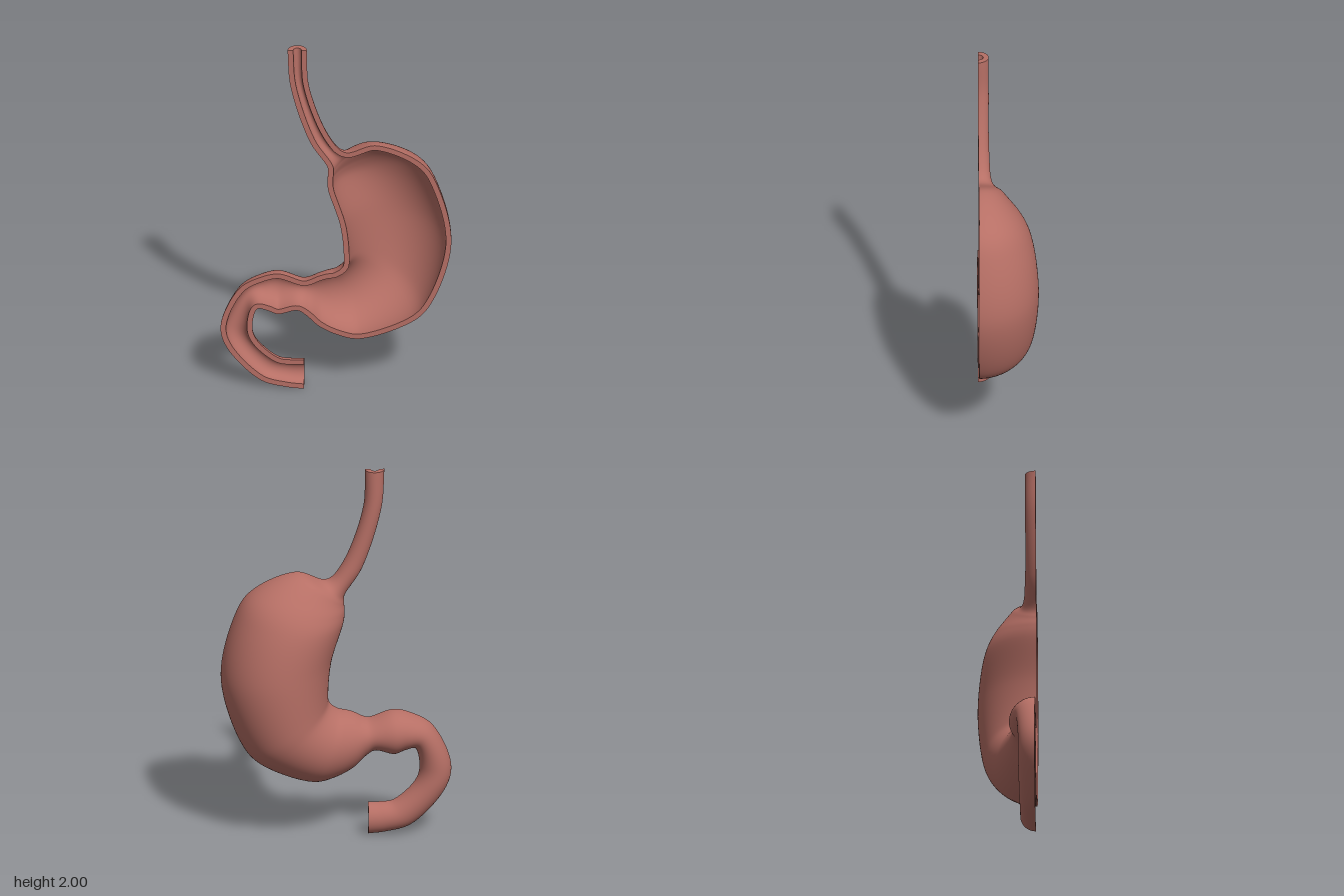
import * as THREE from 'three';

const CUT_Z = 0.15;   // plane of the cut face
const WALL = 0.028;   // wall thickness
const N = 200;        // steps along the organ
const M = 44;         // steps around each half section

// Half sections from gullet to small bowel:
// lesser-curve point (x, y), greater-curve point (x, y), depth behind the cut
const SECTIONS = [
  // gullet
  [-0.25, 2, -0.15, 2, 0.055],
  [-0.235, 1.79, -0.14, 1.79, 0.055],
  [-0.135, 1.46, -0.035, 1.49, 0.057],
  // upper dome, fanning out from the gullet
  [-0.046, 1.315, 0.045, 1.4, 0.072],
  [-0.043, 1.27, 0.205, 1.443, 0.125],
  [-0.046, 1.225, 0.443, 1.335, 0.22],
  // body
  [-0.04, 1.17, 0.53, 1.18, 0.27],
  [0.022, 0.96, 0.59, 0.865, 0.306],
  [0.039, 0.77, 0.495, 0.53, 0.288],
  [0.034, 0.725, 0.405, 0.415, 0.268],
  // narrowing towards the outlet
  [-0.01, 0.688, 0.125, 0.3, 0.212],
  [-0.05, 0.68, 0.01, 0.32, 0.18],
  [-0.095, 0.665, -0.09, 0.372, 0.15],
  [-0.135, 0.645, -0.155, 0.435, 0.128],
  [-0.167, 0.637, -0.2, 0.462, 0.12],
  [-0.295, 0.677, -0.3, 0.44, 0.136],
  [-0.39, 0.655, -0.353, 0.46, 0.122],
  // bowel loop
  [-0.495, 0.59, -0.405, 0.468, 0.1],
  [-0.592, 0.375, -0.43, 0.355, 0.086],
  [-0.565, 0.245, -0.405, 0.28, 0.086],
  [-0.39, 0.05, -0.295, 0.18, 0.082],
  [-0.257, 0.01, -0.23, 0.17, 0.08],
  [-0.165, 0, -0.165, 0.17, 0.08],
];

// Indexed surface from rows of points
function gridGeometry(rows, flip = false) {
  const w = rows[0].length;
  const index = [];
  for (let i = 0; i < rows.length - 1; i++) {
    for (let j = 0; j < w - 1; j++) {
      const a = i * w + j, b = a + 1, c = a + w, d = c + 1;
      if (flip) index.push(a, c, b, b, c, d);
      else index.push(a, b, c, b, d, c);
    }
  }
  const geo = new THREE.BufferGeometry().setFromPoints(rows.flat());
  geo.setIndex(index);
  geo.computeVertexNormals();
  return geo;
}

export function createModel() {
  const group = new THREE.Group();
  group.name = 'stomachHalf';
  const tissue = new THREE.MeshStandardMaterial({ color: 0xb66f65 });
  tissue.name = 'tissue';

  const add = (name, geo) => {
    const mesh = new THREE.Mesh(geo, tissue);
    mesh.name = name;
    group.add(mesh);
  };

  // Smooth guides through the section data; z carries the depth
  const lesser = new THREE.CatmullRomCurve3(SECTIONS.map(s => new THREE.Vector3(s[0], s[1], s[4])));
  const greater = new THREE.CatmullRomCurve3(SECTIONS.map(s => new THREE.Vector3(s[2], s[3], s[4])));

  // Outer wall: a half ellipse between the two guides at every step
  const outer = [];
  for (let i = 0; i <= N; i++) {
    const a = lesser.getPoint(i / N), b = greater.getPoint(i / N);
    const depth = (a.z + b.z) / 2;
    const row = [];
    for (let j = 0; j <= M; j++) {
      const t = Math.PI * j / M;
      const k = (1 - Math.cos(t)) / 2;
      row.push(new THREE.Vector3(
        a.x + (b.x - a.x) * k,
        a.y + (b.y - a.y) * k,
        CUT_Z - depth * Math.sin(t)));
    }
    outer.push(row);
  }
  const outerGeo = gridGeometry(outer);
  add('outerWall', outerGeo);

  // Inner lining: the outer wall moved inwards, kept flush at the cut and the ends
  const normals = outerGeo.attributes.normal;
  const inner = outer.map((row, i) => row.map((p, j) => {
    const n = new THREE.Vector3().fromBufferAttribute(normals, i * (M + 1) + j);
    if (j === 0 || j === M) n.z = 0;
    if (i === 0) n.y = 0;
    if (i === N) n.x = 0;
    return p.clone().addScaledVector(n.normalize(), -WALL);
  }));
  add('innerLining', gridGeometry(inner, true));

  // Flat cut faces along both curves
  add('lesserCurveRim', gridGeometry(outer.map((r, i) => [inner[i][0], r[0]])));
  add('greaterCurveRim', gridGeometry(outer.map((r, i) => [r[M], inner[i][M]])));

  // Open tube ends
  add('gulletEnd', gridGeometry([inner[0], outer[0]]));
  add('bowelEnd', gridGeometry([outer[N], inner[N]]));

  return group;
}
